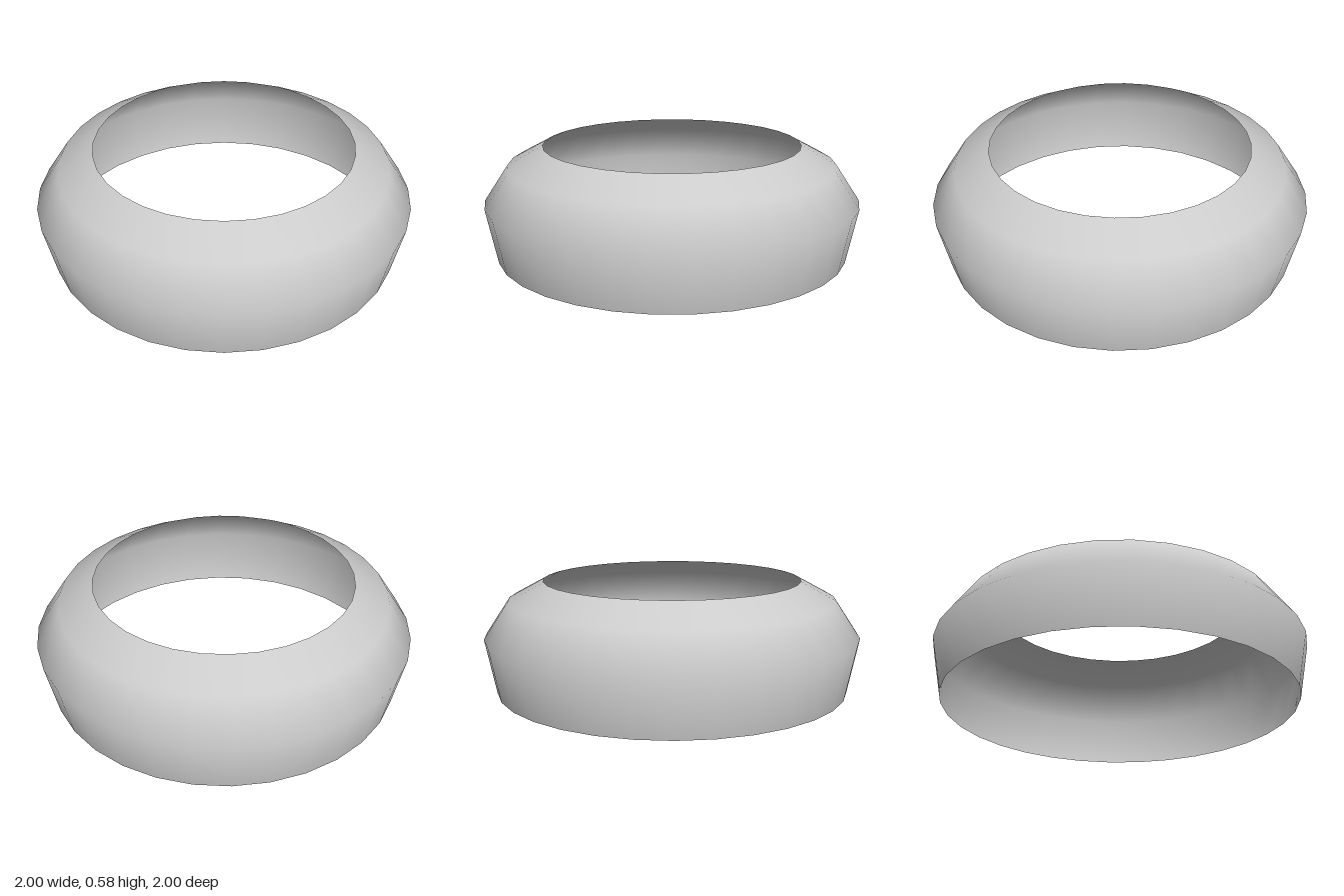
import * as THREE from 'three';

export function createModel() {
  const group = new THREE.Group();
  group.name = 'ring';

  // Open, thin-walled band: foot, widest line, shoulder, top opening
  const profile = [[0.942, 0], [1, 0.292], [0.872, 0.484], [0.685, 0.585]]
    .map(([radius, y]) => new THREE.Vector2(radius, y));

  const band = new THREE.Mesh(
    new THREE.LatheGeometry(profile, 32),
    new THREE.MeshStandardMaterial({ color: 0xcccccc, side: THREE.DoubleSide })
  );
  band.name = 'band';
  group.add(band);
  return group;
}
